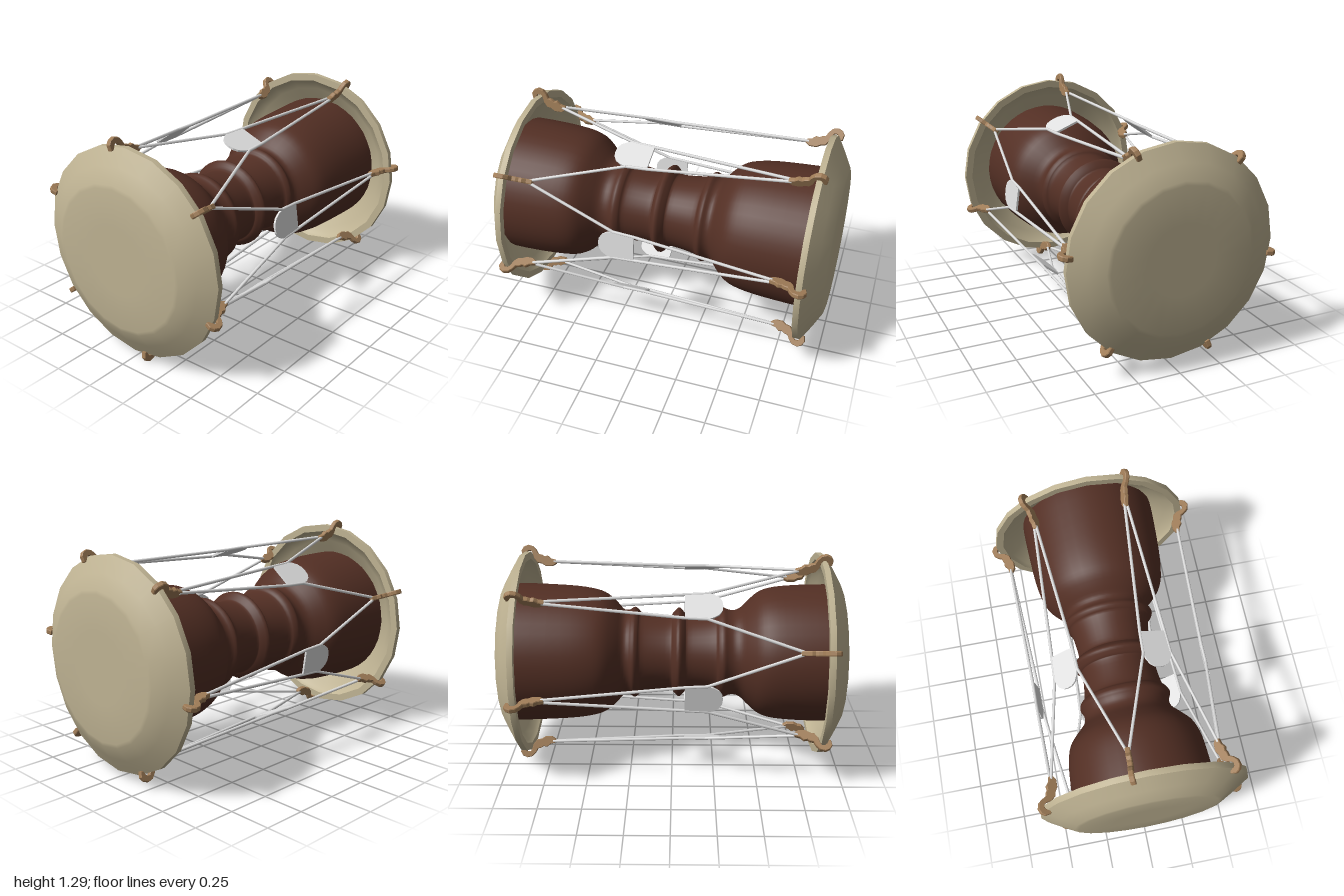
import * as THREE from 'three';
import { toCreasedNormals } from 'three/addons/utils/BufferGeometryUtils.js';

const AXIS_HEIGHT = 0.645;
const FIRST_ANGLE = THREE.MathUtils.degToRad(21.8);
const STEP = Math.PI / 6; // angle between neighbouring hooks of opposite ends

const wood = new THREE.MeshStandardMaterial({ name: 'dark wood', color: 0x532f24 });
const skin = new THREE.MeshStandardMaterial({ name: 'drum skin', color: 0xbfb393 });
const bronze = new THREE.MeshStandardMaterial({ name: 'bronze hook', color: 0xa07d58 });
const cord = new THREE.MeshStandardMaterial({ name: 'white cord', color: 0xe0e0e0 });

const vectors = (list) => list.map(([x, y]) => new THREE.Vector2(x, y));

// Turned part along the x axis, from [x, radius] pairs
function turned(profile, sides) {
  const points = profile.map(([x, r]) => new THREE.Vector2(r, x));
  return new THREE.LatheGeometry(points, sides).rotateZ(-Math.PI / 2);
}

// Point around the drum axis: position x, radius r, angle a, sideways offset t
function around(x, r, a, t = 0) {
  return new THREE.Vector3(
    x,
    r * Math.cos(a) - t * Math.sin(a),
    r * Math.sin(a) + t * Math.cos(a)
  );
}

function add(parent, name, geometry, material) {
  const mesh = new THREE.Mesh(geometry, material);
  mesh.name = name;
  parent.add(mesh);
  return mesh;
}

// Straight piece of rope between two points
function ropePiece(parent, from, to) {
  const span = to.clone().sub(from);
  const mesh = add(parent, 'ropePiece', new THREE.CylinderGeometry(0.009, 0.009, span.length() + 0.006, 6), cord);
  mesh.position.copy(from).addScaledVector(span, 0.5);
  mesh.quaternion.setFromUnitVectors(new THREE.Vector3(0, 1, 0), span.normalize());
}

// Flat S-shaped hook, drawn as [x, radius] for the +x end
function hookGeometry() {
  const shape = new THREE.Shape(vectors([
    [0.712, 0.54], [0.735, 0.525], [0.775, 0.525], [0.8, 0.54], [0.825, 0.545],
    [0.845, 0.57], [0.853, 0.6], [0.865, 0.617], [0.885, 0.617], [0.895, 0.606],
    [0.898, 0.585], [0.916, 0.585], [0.922, 0.615], [0.91, 0.636], [0.885, 0.648],
    [0.855, 0.64], [0.835, 0.618], [0.822, 0.593], [0.8, 0.588], [0.785, 0.578],
    [0.765, 0.582], [0.745, 0.565], [0.715, 0.557],
  ]));
  return new THREE.ExtrudeGeometry(shape, {
    depth: 0.018, bevelEnabled: true, bevelThickness: 0.005, bevelSize: 0.003, bevelSegments: 1,
  }).translate(0, 0, -0.009);
}

// Flat sleeve with a rounded end, lying across the radius
function sleeveGeometry() {
  const half = [[-0.075, 0.08], [-0.19, 0.088], [-0.235, 0.077], [-0.268, 0.056], [-0.284, 0.03]];
  const mirrored = half.map(([x, w]) => [x, -w]).reverse();
  const shape = new THREE.Shape(vectors([...half, [-0.288, 0], ...mirrored]));
  return new THREE.ExtrudeGeometry(shape, { depth: 0.012, bevelEnabled: false })
    .translate(0, 0, -0.006)
    .rotateX(-Math.PI / 2);
}

export function createModel() {
  const model = new THREE.Group();
  model.name = 'hourglassDrum';
  const drum = new THREE.Group();
  drum.name = 'drum';
  drum.position.y = AXIS_HEIGHT;
  model.add(drum);

  // Waisted wooden body with three turned rings
  const bodyCurve = new THREE.SplineCurve(vectors([
    [-0.97, 0.415], [-0.87, 0.415], [-0.73, 0.41], [-0.6, 0.397], [-0.52, 0.37],
    [-0.46, 0.32], [-0.41, 0.272], [-0.37, 0.257], [-0.335, 0.262], [-0.305, 0.275],
    [-0.275, 0.262], [-0.255, 0.242], [-0.18, 0.228], [-0.09, 0.222], [-0.075, 0.24],
    [-0.04, 0.272], [-0.005, 0.24], [0.015, 0.222], [0.1, 0.227], [0.185, 0.242],
    [0.205, 0.262], [0.23, 0.275], [0.26, 0.258], [0.295, 0.262], [0.34, 0.31],
    [0.4, 0.36], [0.48, 0.387], [0.62, 0.405], [0.87, 0.417], [0.97, 0.417],
  ]));
  const bodyProfile = bodyCurve.getPoints(90).map((p) => [p.x, p.y]);
  add(drum, 'body', turned(bodyProfile, 40), wood);

  // Overhanging skin heads: hollow back, rim, sloping edge and flat centre
  const head = toCreasedNormals(turned([
    [0.97, 0.41], [0.915, 0.5], [0.885, 0.55], [0.862, 0.565], [0.862, 0.608],
    [0.895, 0.608], [0.95, 0.515], [0.995, 0.432], [1, 0.41], [1, 0.2], [1, 0],
  ], 20), 0.75);
  for (const [name, turn] of [['leftHead', 0], ['rightHead', Math.PI]]) {
    add(drum, name, head, skin).rotation.y = turn;
  }

  const hook = hookGeometry();
  const sleeve = sleeveGeometry();
  for (let i = 0; i < 6; i++) {
    const angle = FIRST_ANGLE + i * 2 * STEP;

    // Hooks alternate between the two ends
    add(drum, 'leftHook', hook, bronze).rotation.x = angle;
    add(drum, 'rightHook', hook, bronze).rotation.set(angle + STEP, Math.PI, 0);

    // Sleeve gathering the two ropes of each left hook
    const band = add(drum, 'sleeve', sleeve, cord);
    band.position.copy(around(0, 0.52, angle));
    band.rotation.x = angle;

    // Ropes from each left hook, through the sleeve, to both opposite hooks
    for (const side of [-1, 1]) {
      const rope = new THREE.Group();
      rope.name = 'rope';
      drum.add(rope);
      const path = [
        around(0.725, 0.55, angle, side * 0.008),
        around(-0.075, 0.52, angle, side * 0.077),
        around(-0.2, 0.52, angle, side * 0.084),
        around(-0.725, 0.55, angle + side * STEP, -side * 0.008),
      ];
      for (let k = 1; k < path.length; k++) ropePiece(rope, path[k - 1], path[k]);
    }
  }
  return model;
}
